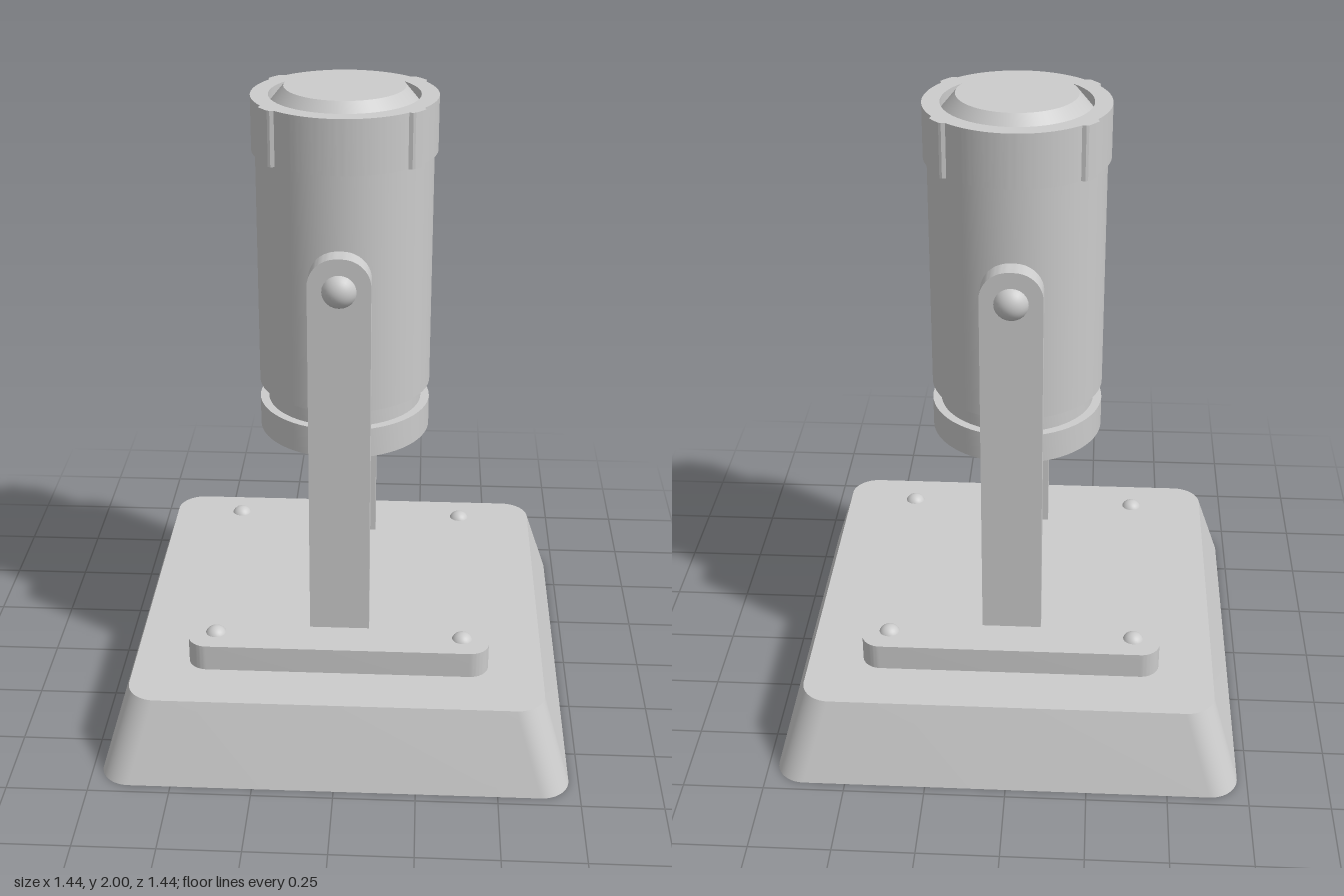
import * as THREE from 'three';
import { toCreasedNormals } from 'three/addons/utils/BufferGeometryUtils.js';

const material = new THREE.MeshStandardMaterial({ color: 0xcccccc });

function add(parent, name, geometry, x = 0, y = 0, z = 0) {
  const mesh = new THREE.Mesh(geometry, material);
  mesh.name = name;
  mesh.position.set(x, y, z);
  parent.add(mesh);
  return mesh;
}

// Extrudes a shape drawn in plan upwards from y = 0.
function slab(shape, height, curveSegments = 8) {
  const g = new THREE.ExtrudeGeometry(shape, { depth: height, bevelEnabled: false, curveSegments });
  return g.rotateX(-Math.PI / 2);
}

function roundedSquare(half, r) {
  const s = new THREE.Shape(), c = half - r;
  s.absarc(c, c, r, 0, Math.PI / 2);
  s.absarc(-c, c, r, Math.PI / 2, Math.PI);
  s.absarc(-c, -c, r, Math.PI, Math.PI * 1.5);
  s.absarc(c, -c, r, Math.PI * 1.5, Math.PI * 2);
  s.closePath();
  return s;
}

// Lathe with sharp profile corners and smooth sides.
function turned(profile) {
  const g = new THREE.LatheGeometry(profile.map(([r, y]) => new THREE.Vector2(r, y)), 64);
  return toCreasedNormals(g, 0.5);
}

export function createModel() {
  const model = new THREE.Group();
  model.name = 'spotlight';

  // Base: rounded square whose top edge is drawn inwards
  const baseGeo = slab(roundedSquare(0.72, 0.09), 0.26);
  const p = baseGeo.attributes.position;
  for (let i = 0; i < p.count; i++) {
    if (p.getY(i) > 0.13) {
      p.setX(i, p.getX(i) - Math.sign(p.getX(i)) * 0.08);
      p.setZ(i, p.getZ(i) - Math.sign(p.getZ(i)) * 0.08);
    }
  }
  add(model, 'base', toCreasedNormals(baseGeo, 0.5));

  // Mounting plate and its corner screws
  add(model, 'mountingPlate', toCreasedNormals(slab(roundedSquare(0.47, 0.06), 0.085), 0.5), 0, 0.26, 0);
  const dome = (r) => new THREE.SphereGeometry(r, 24, 10, 0, Math.PI * 2, 0, Math.PI / 2);
  for (const sx of [-1, 1]) {
    for (const sz of [-1, 1]) add(model, 'plateScrew', dome(0.035), sx * 0.387, 0.33, sz * 0.385);
  }

  // Yoke arms with rounded tops, and the pivot bolts
  const arm = new THREE.Shape();
  const w = 0.093, r = 0.085, top = 1.585;
  arm.moveTo(-w, 0.34);
  arm.lineTo(w, 0.34);
  arm.absarc(w - r, top - r, r, 0, Math.PI / 2);
  arm.absarc(r - w, top - r, r, Math.PI / 2, Math.PI);
  arm.closePath();
  const armGeo = toCreasedNormals(
    new THREE.ExtrudeGeometry(arm, { depth: 0.065, bevelEnabled: false, curveSegments: 10 }), 0.5);
  for (const s of [1, -1]) {
    const side = new THREE.Group();
    side.name = s > 0 ? 'frontArm' : 'backArm';
    side.rotation.y = s > 0 ? 0 : Math.PI;
    add(side, 'armBar', armGeo, 0, 0, 0.278);
    add(side, 'pivotBolt', dome(0.056).rotateX(Math.PI / 2), 0, 1.485, 0.32);
    model.add(side);
  }

  // Lamp barrel with a groove near its lower end
  add(model, 'barrel', turned([
    [0, 0.91], [0.267, 0.91], [0.267, 1.005], [0.24, 1.005], [0.24, 1.065],
    [0.267, 1.065], [0.267, 1.93], [0, 1.93],
  ]));

  // Bezel ring with four small grip lugs
  const lugs = [39.5, 140.5, 219.5, 320.5];
  const outline = [];
  for (let a = 0; a < 360; a += 1.5) {
    const d = Math.min(...lugs.map((l) => Math.abs(a - l)));
    const radius = 0.278 + 0.013 * THREE.MathUtils.clamp((7 - d) / 2, 0, 1);
    const t = THREE.MathUtils.degToRad(a);
    outline.push(new THREE.Vector2(Math.cos(t) * radius, Math.sin(t) * radius));
  }
  const ring = new THREE.Shape(outline);
  ring.holes.push(new THREE.Path().absarc(0, 0, 0.225, 0, Math.PI * 2, true));
  add(model, 'bezelRing', toCreasedNormals(slab(ring, 0.165, 32), 0.4), 0, 1.81, 0);

  // Lens with a bevelled edge
  add(model, 'lens', turned([[0.225, 1.925], [0.225, 1.945], [0.18, 2], [0, 2]]));

  return model;
}
